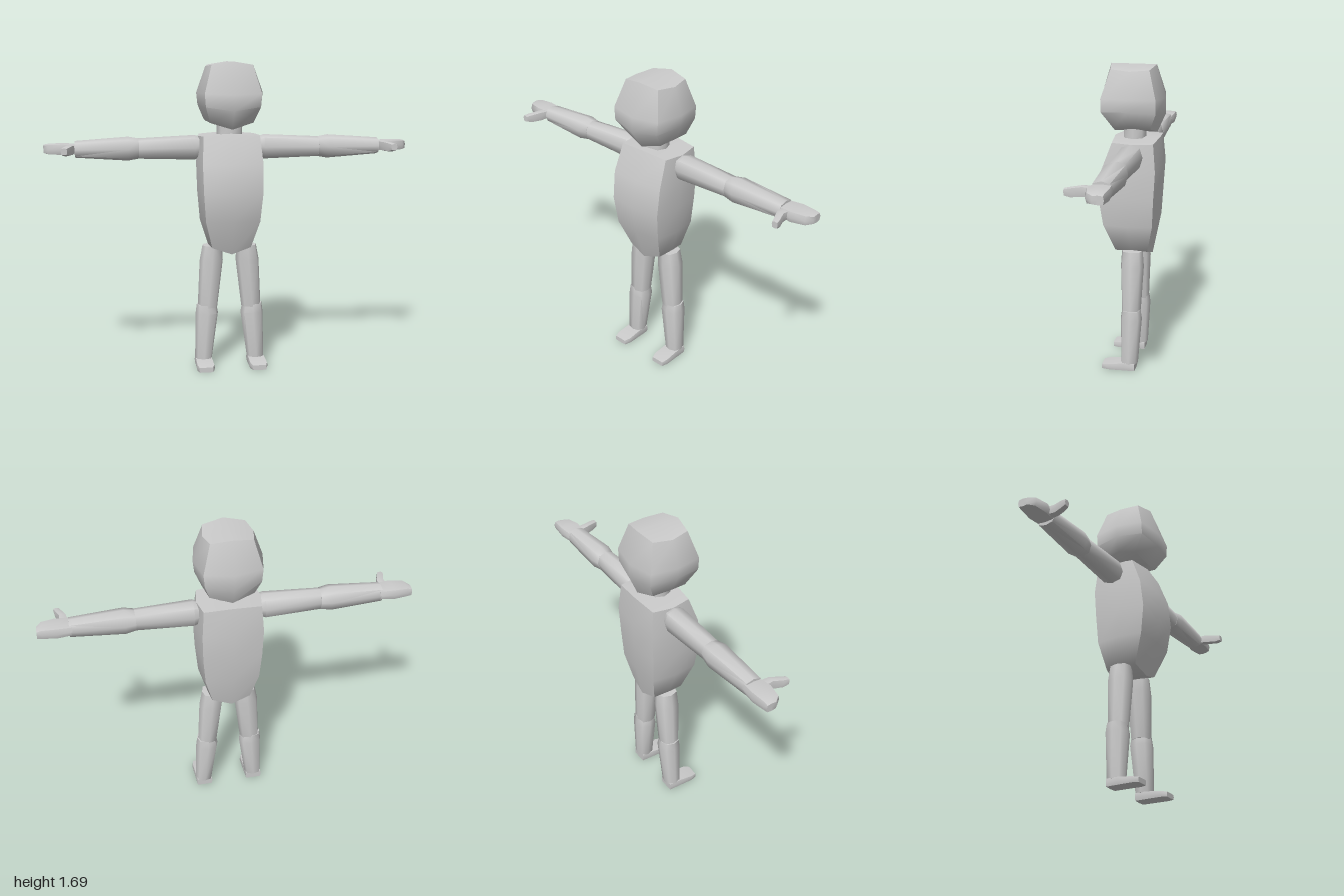
import * as THREE from 'three';
import { toCreasedNormals } from 'three/addons/utils/BufferGeometryUtils.js';

const material = new THREE.MeshStandardMaterial({ color: 0xcccccc });

// How (u, t, v) of a cross-section at station t lands in x, y, z
const ALONG = {
  x: (u, t, v) => [t, v, u],
  y: (u, t, v) => [u, t, v],
  z: (u, t, v) => [v, u, t],
};

// Closed loft through eight-sided sections: [t, uMin, uMax, vMin, vMax, crown].
// corner sets how square the section is; crown shifts t toward the sides (u extremes).
function loft(name, axis, sections, { corner = 0.76, side = 1, crease = 1 } = {}) {
  const N = 8;
  const pos = [], index = [];
  const put = (u, t, v) => {
    const [x, y, z] = ALONG[axis](u, t, v);
    pos.push(x * side, y, z);
  };
  const tri = (a, b, c) => (side > 0 ? index.push(a, b, c) : index.push(a, c, b));
  for (const [t, u0, u1, v0, v1, crown = 0] of sections) {
    for (let j = 0; j < N; j++) {
      const r = j % 2 ? corner * Math.SQRT2 : 1;
      const c = r * Math.cos((j * Math.PI) / 4);
      const s = r * Math.sin((j * Math.PI) / 4);
      put((u0 + u1) / 2 + (c * (u1 - u0)) / 2, t + crown * c * c, (v0 + v1) / 2 + (s * (v1 - v0)) / 2);
    }
  }
  const last = sections.length - 1;
  for (let i = 0; i < last; i++) {
    for (let j = 0; j < N; j++) {
      const a = i * N + j, b = i * N + ((j + 1) % N);
      tri(a, a + N, b);
      tri(b, a + N, b + N);
    }
  }
  // End caps
  for (const i of [0, last]) {
    const [t, u0, u1, v0, v1] = sections[i];
    const centre = pos.length / 3;
    put((u0 + u1) / 2, t, (v0 + v1) / 2);
    for (let j = 0; j < N; j++) {
      const a = i * N + j, b = i * N + ((j + 1) % N);
      if (i) tri(centre, b, a);
      else tri(centre, a, b);
    }
  }
  const geometry = new THREE.BufferGeometry();
  geometry.setAttribute('position', new THREE.Float32BufferAttribute(pos, 3));
  geometry.setIndex(index);
  const mesh = new THREE.Mesh(toCreasedNormals(geometry, crease), material);
  mesh.name = name;
  return mesh;
}

function arm(side) {
  const group = new THREE.Group();
  group.name = side > 0 ? 'leftArm' : 'rightArm';
  group.add(
    loft('upperArm', 'x', [
      [0.15, -0.07, 0.03, 1.175, 1.28],
      [0.19, -0.086, 0.042, 1.16, 1.295],
      [0.505, -0.073, 0.032, 1.17, 1.28],
    ], { side }),
    loft('forearm', 'x', [
      [0.495, -0.075, 0.034, 1.17, 1.28],
      [0.55, -0.086, 0.045, 1.16, 1.29],
      [0.835, -0.075, 0.032, 1.18, 1.27],
    ], { side }),
    loft('hand', 'x', [
      [0.82, -0.075, 0.028, 1.2, 1.255],
      [0.9, -0.084, 0.038, 1.195, 1.26],
      [0.975, -0.076, 0.02, 1.2, 1.257],
      [1.0, -0.073, -0.015, 1.205, 1.25],
    ], { side, corner: 0.85 }),
    loft('thumb', 'z', [
      [0.0, 1.205, 1.25, 0.83, 0.885],
      [0.06, 1.2, 1.255, 0.84, 0.882],
      [0.11, 1.2, 1.25, 0.86, 0.9],
      [0.14, 1.21, 1.245, 0.872, 0.905],
    ], { side, corner: 0.85 }),
  );
  return group;
}

function leg(side) {
  const group = new THREE.Group();
  group.name = side > 0 ? 'leftLeg' : 'rightLeg';
  group.add(
    loft('thigh', 'y', [
      [0.335, 0.068, 0.178, -0.065, 0.04],
      [0.6, 0.036, 0.166, -0.078, 0.05],
      [0.685, 0.04, 0.15, -0.07, 0.045],
    ], { side }),
    loft('shin', 'y', [
      [0.04, 0.1, 0.195, -0.055, 0.04],
      [0.3, 0.064, 0.19, -0.073, 0.046],
      [0.35, 0.074, 0.184, -0.066, 0.038],
    ], { side }),
    loft('foot', 'z', [
      [-0.042, 0, 0.045, 0.102, 0.194],
      [0.02, 0, 0.045, 0.1, 0.196],
      [0.11, 0, 0.034, 0.098, 0.198],
      [0.143, 0, 0.028, 0.11, 0.188],
    ], { side, corner: 0.93, crease: 0.7 }),
  );
  return group;
}

export function createModel() {
  const model = new THREE.Group();
  model.name = 'figure';
  model.add(
    loft('head', 'y', [
      [1.33, -0.14, 0.14, -0.13, 0.105, 0.05],
      [1.43, -0.175, 0.175, -0.174, 0.174, 0.03],
      [1.515, -0.182, 0.182, -0.174, 0.174, 0.01],
      [1.69, -0.132, 0.132, -0.125, 0.12, -0.025],
    ], { corner: 0.84 }),
    loft('neck', 'y', [
      [1.27, -0.07, 0.07, -0.07, 0.055],
      [1.37, -0.07, 0.07, -0.07, 0.055],
    ]),
    loft('torso', 'y', [
      [0.648, -0.12, 0.12, -0.108, 0.09, 0.045],
      [0.835, -0.166, 0.166, -0.146, 0.155],
      [0.99, -0.18, 0.18, -0.156, 0.178],
      [1.145, -0.184, 0.184, -0.165, 0.16],
      [1.305, -0.172, 0.172, -0.148, 0.1, -0.015],
    ], { corner: 0.89 }),
  );
  for (const side of [1, -1]) model.add(arm(side), leg(side));
  return model;
}
